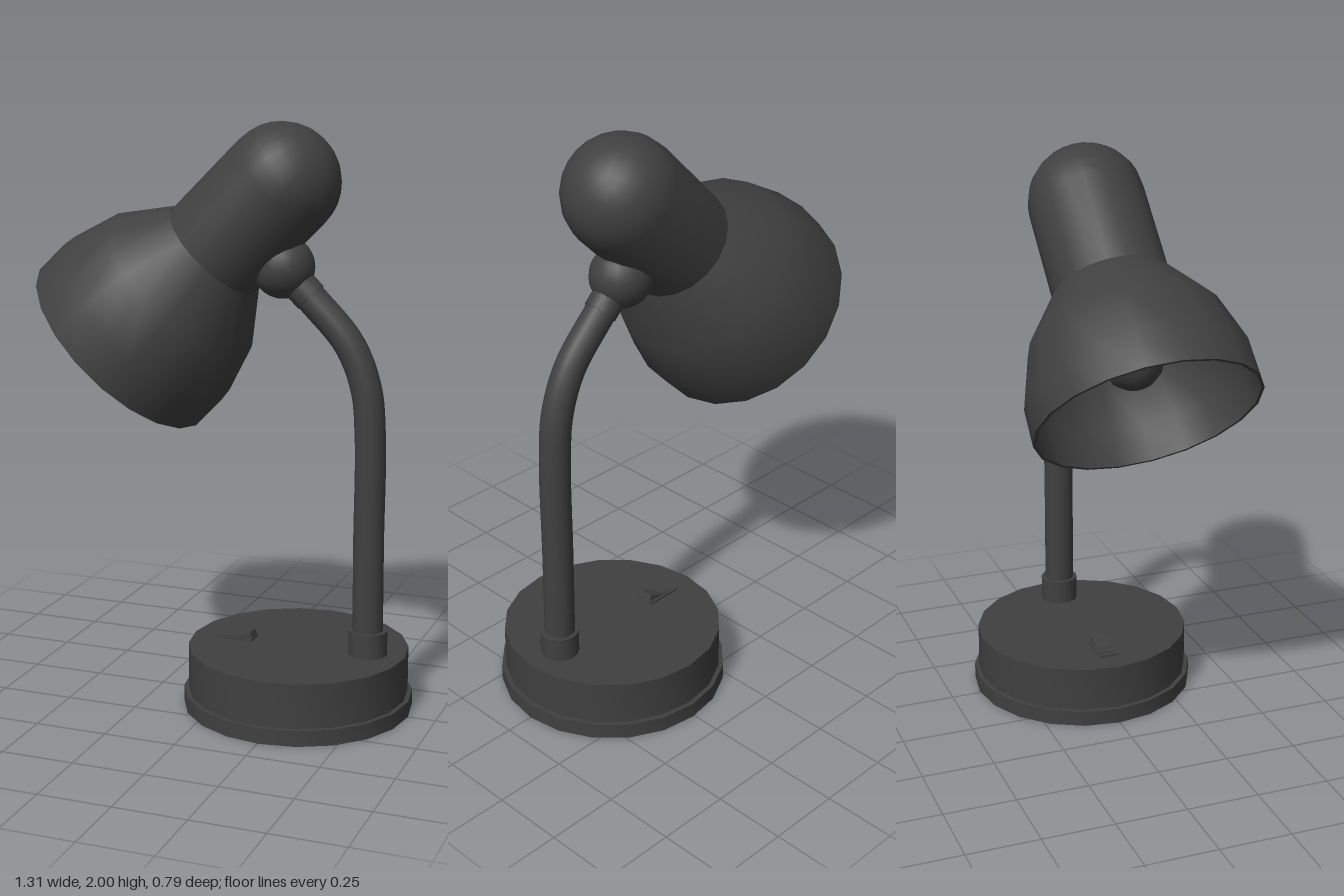
import * as THREE from 'three';
import { toCreasedNormals } from 'three/addons/utils/BufferGeometryUtils.js';

const SIDES = 20;
const material = new THREE.MeshStandardMaterial({ color: 0x404040, side: THREE.DoubleSide });

function addMesh(parent, name, geometry, x = 0, y = 0, z = 0) {
  const mesh = new THREE.Mesh(geometry, material);
  mesh.name = name;
  mesh.position.set(x, y, z);
  parent.add(mesh);
  return mesh;
}

// Turned part from [radius, height] pairs, keeping sharp edges sharp
function turned(points, sides = SIDES) {
  const profile = points.map(([r, h]) => new THREE.Vector2(r, h));
  return toCreasedNormals(new THREE.LatheGeometry(profile, sides), 0.6);
}

export function createModel() {
  const lamp = new THREE.Group();
  lamp.name = 'deskLamp';

  // Round base: wide foot with a drum on top
  const baseX = 0.258;
  addMesh(lamp, 'baseFoot', turned([[0, 0], [0.395, 0], [0.395, 0.055], [0.375, 0.055]]), baseX);
  addMesh(lamp, 'baseDrum', turned([[0.379, 0.055], [0.379, 0.21], [0, 0.21]]), baseX);

  // Rocker switch: flat plate with a V-shaped key raised at one end
  const rocker = new THREE.Shape();
  [[-0.05, 0], [0.065, 0], [0.055, 0.029], [0, 0.01], [-0.05, 0.01]].forEach(([x, y], i) =>
    i ? rocker.lineTo(x, y) : rocker.moveTo(x, y));
  addMesh(lamp, 'switchPlate', new THREE.BoxGeometry(0.13, 0.01, 0.07), 0.032, 0.212, 0);
  addMesh(lamp, 'switchRocker',
    new THREE.ExtrudeGeometry(rocker, { depth: 0.05, bevelEnabled: false }), 0.035, 0.21, -0.025);

  // Bent neck and the sleeve at its foot
  const neckPath = new THREE.CatmullRomCurve3([
    [0.28, 1.433], [0.425, 1.275], [0.485, 1.13], [0.502, 0.97], [0.503, 0.6], [0.506, 0.22],
  ].map(([x, y]) => new THREE.Vector3(x, y, 0)));
  addMesh(lamp, 'neck', new THREE.TubeGeometry(neckPath, 40, 0.052, 16));
  addMesh(lamp, 'neckSleeve', turned([[0.066, 0.2], [0.066, 0.295], [0.045, 0.295]], 16), 0.507);

  // Ball joint behind the housing, with a collar gripping the neck
  addMesh(lamp, 'jointBall', new THREE.SphereGeometry(0.106, 20, 14), 0.193, 1.52, 0);
  const collar = addMesh(lamp, 'jointCollar',
    turned([[0, 0.137], [0.056, 0.137], [0.056, 0.05]].reverse(), 16), 0.193, 1.52, 0);
  collar.rotation.z = -Math.PI * 0.75;

  // Head, built upright from the rim and then tilted
  const head = new THREE.Group();
  head.name = 'head';
  head.position.set(-0.388, 1.225, 0);
  head.rotation.z = -Math.PI / 4;
  lamp.add(head);

  // Hollow shade: inner wall down to the rim, then the outer wall up
  addMesh(head, 'shade', turned([
    [0, 0.465], [0.19, 0.465], [0.313, 0.303], [0.366, 0.13], [0.37, 0],
    [0.381, 0], [0.379, 0.13], [0.324, 0.308], [0.2, 0.48],
  ]));

  // Housing: straight barrel ending in a dome
  const housing = [[0.198, 0.475]];
  for (let i = 0; i <= 8; i++) {
    const a = (i / 8) * Math.PI / 2;
    housing.push([0.198 * Math.cos(a), 0.81 + 0.198 * Math.sin(a)]);
  }
  addMesh(head, 'housing', turned(housing));

  // Socket and bulb inside the shade
  addMesh(head, 'bulbSocket', turned([[0.05, 0.36], [0.07, 0.36], [0.07, 0.47]]));
  addMesh(head, 'bulb', turned([
    [0, 0.11], [0.05, 0.12], [0.085, 0.15], [0.1, 0.2], [0.085, 0.25], [0.055, 0.31], [0.045, 0.37],
  ]));

  return lamp;
}
